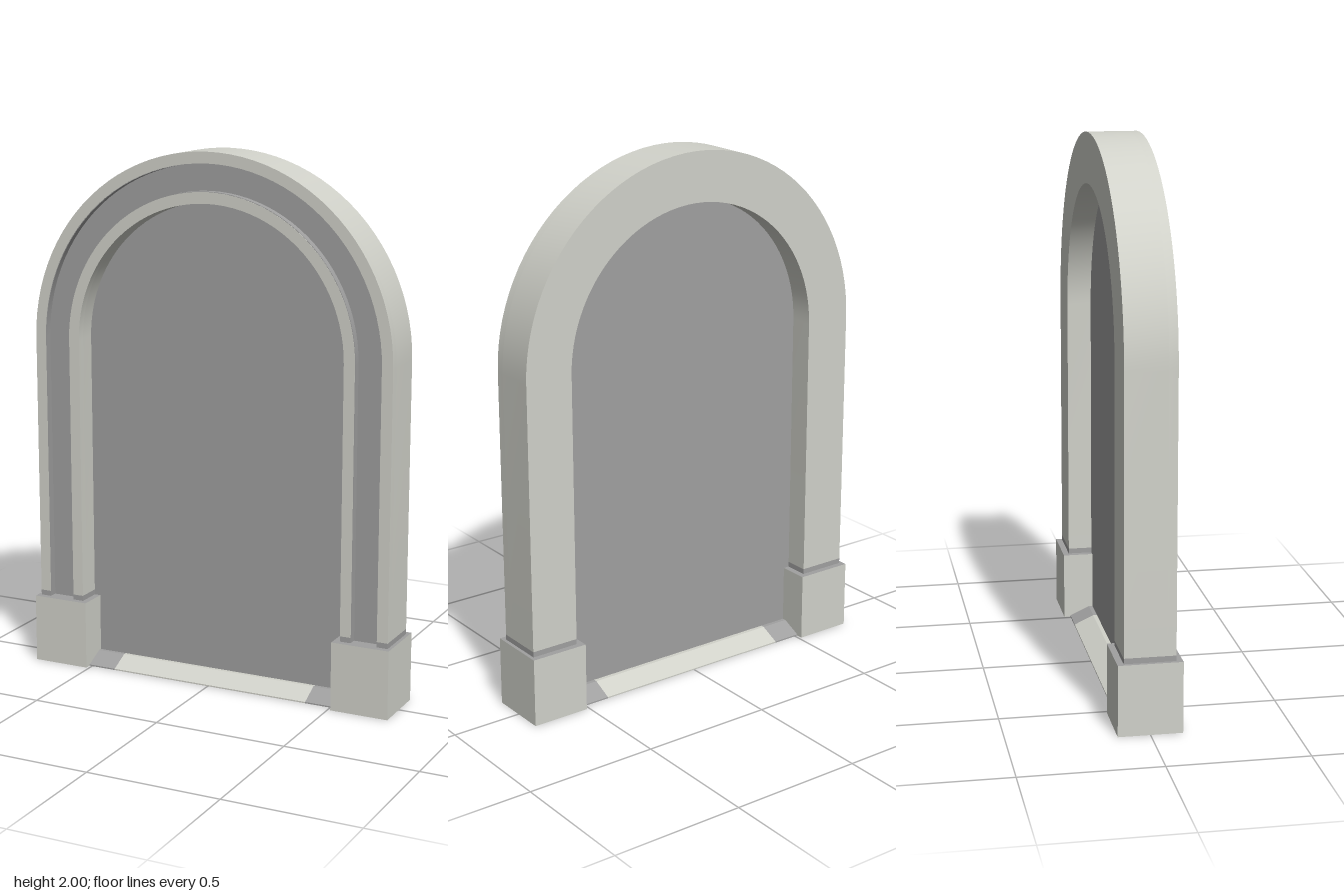
import * as THREE from 'three';
import { toCreasedNormals } from 'three/addons/utils/BufferGeometryUtils.js';

const SPRING = 1.28; // height where the arch starts to curve
const FOOT = 0.28; // top of the darker foot of each jamb
const R_OUT = 0.72, R_IN = 0.535;

const stone = new THREE.MeshStandardMaterial({ color: 0xd1d2ca });
stone.name = 'lightStone';
const grey = new THREE.MeshStandardMaterial({ color: 0xa0a0a0 });
grey.name = 'darkGrey';
const pane = new THREE.MeshStandardMaterial({ color: 0xa0a0a0, side: THREE.DoubleSide });
pane.name = 'paneGrey';

export function createModel() {
  const model = new THREE.Group();
  model.name = 'archedWindow';

  const add = (name, geometry, material, x = 0, y = 0, z = 0) => {
    const mesh = new THREE.Mesh(geometry, material);
    mesh.name = name;
    mesh.position.set(x, y, z);
    model.add(mesh);
    return mesh;
  };

  // Horseshoe band between two radii, extruded from z0 to z1
  const band = (name, outer, inner, bottom, z0, z1, material) => {
    const s = new THREE.Shape();
    s.moveTo(outer, bottom);
    s.lineTo(outer, SPRING);
    s.absarc(0, SPRING, outer, 0, Math.PI, false);
    s.lineTo(-outer, bottom);
    s.lineTo(-inner, bottom);
    s.lineTo(-inner, SPRING);
    s.absarc(0, SPRING, inner, Math.PI, 0, true);
    s.lineTo(inner, bottom);
    s.closePath();
    const g = new THREE.ExtrudeGeometry(s, { depth: z1 - z0, bevelEnabled: false, curveSegments: 24 });
    add(name, toCreasedNormals(g, 0.5), material, 0, 0, z0);
  };

  // Arch with a raised outer and inner rim, and a grey groove between them
  band('archBody', R_OUT, R_IN, FOOT, -0.092, 0.06, stone);
  band('outerRim', R_OUT, 0.678, FOOT, 0.06, 0.092, stone);
  band('innerRim', 0.577, R_IN, FOOT, 0.06, 0.092, stone);
  band('grooveFloor', 0.678, 0.577, FOOT, 0.06, 0.063, grey);
  band('grooveOuterWall', 0.678, 0.676, FOOT, 0.06, 0.091, grey);
  band('grooveInnerWall', 0.579, 0.577, FOOT, 0.06, 0.091, grey);

  // Sill cross-section, sloping down to the front and the back
  const sillShape = new THREE.Shape([
    [-0.09, 0], [0.09, 0], [0.09, 0.005], [0.015, 0.04], [-0.015, 0.04], [-0.09, 0.005],
  ].map(([z, y]) => new THREE.Vector2(z, y)));
  const sill = (name, length, x, material) => {
    const g = new THREE.ExtrudeGeometry(sillShape, { depth: length, bevelEnabled: false });
    g.translate(0, 0, -length / 2);
    g.rotateY(Math.PI / 2);
    add(name, g, material, x);
  };
  sill('sill', 0.8, 0, stone);

  for (const [side, label] of [[1, 'left'], [-1, 'right']]) {
    // Base block with a grey top
    add(label + 'BaseBlock', new THREE.BoxGeometry(0.222, 0.26, 0.23),
      [stone, stone, grey, stone, stone, stone], side * 0.622, 0.13);

    // Grey foot of the jamb, keeping the grooved section
    for (const [part, outer, inner, z0, z1] of [
      ['JambFoot', R_OUT, R_IN, -0.092, 0.06],
      ['OuterRimFoot', R_OUT, 0.678, 0.06, 0.092],
      ['InnerRimFoot', 0.577, R_IN, 0.06, 0.092],
    ]) {
      add(label + part, new THREE.BoxGeometry(outer - inner, FOOT - 0.24, z1 - z0), grey,
        side * (outer + inner) / 2, (FOOT + 0.24) / 2, (z0 + z1) / 2);
    }

    // Grey sill end beside the block
    sill(label + 'SillEnd', 0.12, side * 0.46, grey);
  }

  // Flat pane filling the opening
  const r = R_IN + 0.01;
  const p = new THREE.Shape();
  p.moveTo(-r, 0.02);
  p.lineTo(r, 0.02);
  p.lineTo(r, SPRING);
  p.absarc(0, SPRING, r, 0, Math.PI, false);
  p.closePath();
  add('pane', new THREE.ShapeGeometry(p, 24), pane);

  return model;
}
